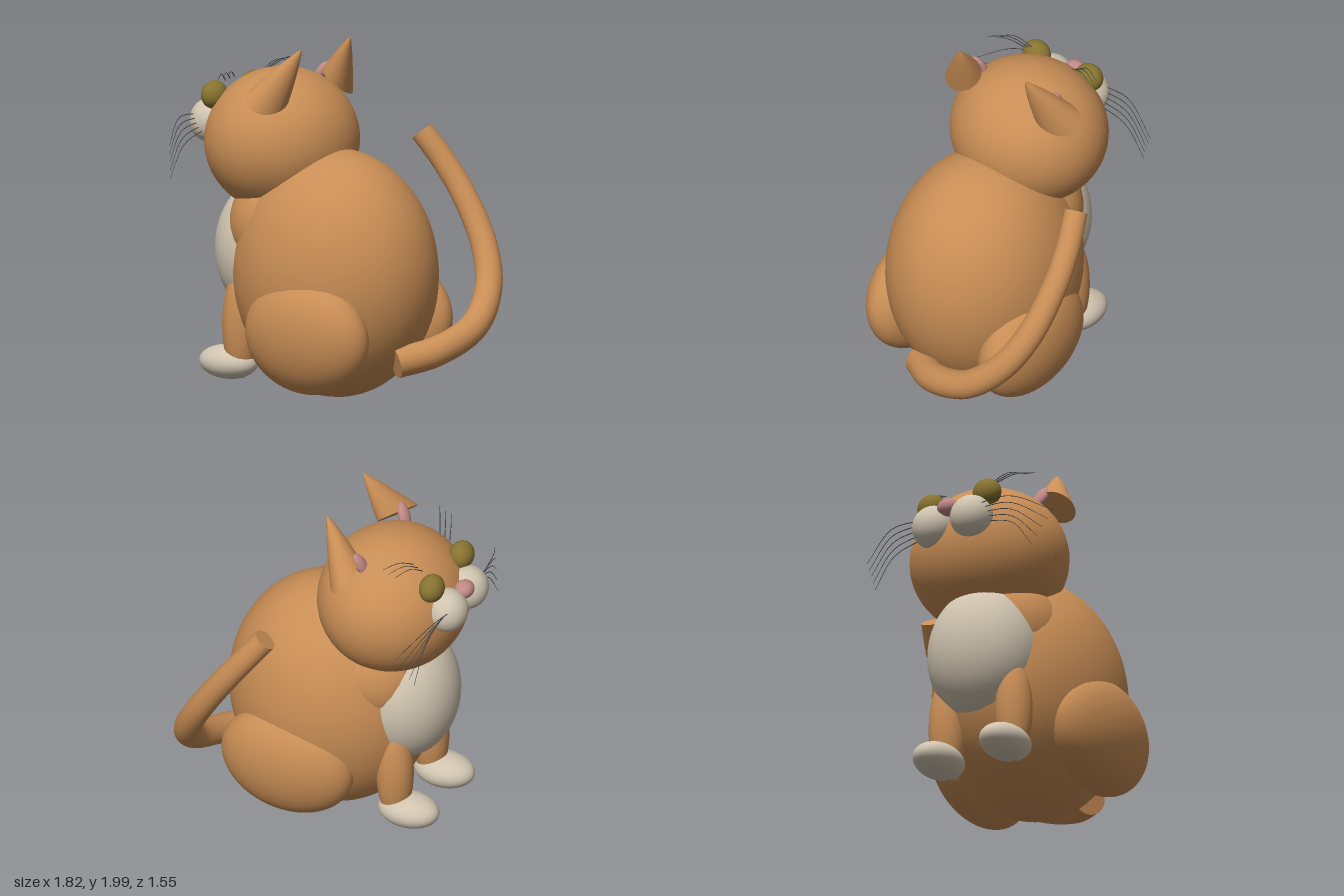
import * as THREE from 'three';

const mat = (name, color) => {
  const m = new THREE.MeshStandardMaterial({ color });
  m.name = name;
  return m;
};

export function createModel() {
  const fur = mat('orange fur', 0xc88d55);
  const cream = mat('cream fur', 0xd0c4b0);
  const pink = mat('pink skin', 0xc08885);
  const olive = mat('olive eye', 0x877330);
  const dark = mat('dark whisker', 0x444444);

  const model = new THREE.Group();
  model.name = 'sittingCat';

  // Body frame: local +z is the way the cat looks
  const cat = new THREE.Group();
  cat.name = 'cat';
  cat.position.set(-0.06, 0, 0.165);
  cat.rotation.y = THREE.MathUtils.degToRad(207);
  model.add(cat);

  const add = (name, geometry, material, parent = cat) => {
    const mesh = new THREE.Mesh(geometry, material);
    mesh.name = name;
    parent.add(mesh);
    return mesh;
  };
  const blob = (name, material, pos, radii) => {
    const geo = new THREE.SphereGeometry(1, 48, 32).scale(...radii);
    const mesh = add(name, geo, material);
    mesh.position.set(...pos);
    return mesh;
  };

  // Tapered tube along a smooth curve, with flat ends
  const taperedTube = (points, r0, r1, segs, sides) => {
    const curve = new THREE.CatmullRomCurve3(points.map(p => new THREE.Vector3(...p)));
    const geo = new THREE.TubeGeometry(curve, segs, 1, sides);
    const pos = geo.attributes.position;
    const v = new THREE.Vector3();
    for (let i = 0; i < pos.count; i++) {
      const t = Math.floor(i / (sides + 1)) / segs;
      const c = curve.getPointAt(t);
      v.fromBufferAttribute(pos, i).sub(c).multiplyScalar(r0 + (r1 - r0) * t).add(c);
      pos.setXYZ(i, v.x, v.y, v.z);
    }
    return { geo, curve };
  };

  // Torso, chest and head
  blob('body', fur, [0, 0.7, 0], [0.525, 0.7, 0.6]);
  blob('shoulders', fur, [0, 0.95, 0.3], [0.38, 0.34, 0.34]);
  blob('chestPatch', cream, [0, 0.8, 0.45], [0.33, 0.4, 0.3]);
  blob('head', fur, [-0.015, 1.41, 0.38], [0.457, 0.41, 0.423]);
  blob('nose', pink, [0, 1.575, 0.81], [0.065, 0.05, 0.055]);

  // Ear: a flattened cone from a tilted oval base to a tip leaning back
  const earGeometry = (s) => {
    const base = new THREE.Vector3(s * 0.335, 1.71, 0.23);
    const tip = new THREE.Vector3(s * 0.235, 1.99, 0.07);
    const wide = new THREE.Vector3(s * 0.137, -0.035, 0.03);
    const deep = new THREE.Vector3(0, -0.065, -0.08);
    const geo = new THREE.ConeGeometry(1, 1, 40, 16);
    const pos = geo.attributes.position;
    for (let i = 0; i < pos.count; i++) {
      const t = pos.getY(i) + 0.5;
      const r = Math.hypot(pos.getX(i), pos.getZ(i));
      const a = Math.atan2(pos.getZ(i), pos.getX(i) * s);
      const k = r < 1e-5 ? 0 : Math.pow(1 - t, 0.8);
      const p = base.clone().lerp(tip, t)
        .addScaledVector(wide, k * Math.cos(a))
        .addScaledVector(deep, k * Math.sin(a));
      pos.setXYZ(i, p.x, p.y, p.z);
    }
    geo.computeVertexNormals();
    return geo;
  };
  const earFur = fur.clone();
  earFur.side = THREE.DoubleSide;

  for (const s of [1, -1]) {
    const side = s > 0 ? 'left' : 'right';

    // Legs
    const thigh = blob(side + 'Thigh', fur, [s * 0.4, 0.405, -0.09], [0.2, 0.33, 0.4]);
    thigh.rotation.z = -s * 0.1;
    blob(side + 'FrontLeg', fur, [s * 0.225, 0.39, 0.49], [0.105, 0.31, 0.105]);
    blob(side + 'Paw', cream, [s * 0.225, 0.165, 0.575], [0.128, 0.096, 0.18]);

    // Face
    blob(side + 'Eye', olive, [s * 0.187, 1.66, 0.7], [0.085, 0.08, 0.07]);
    blob(side + 'Muzzle', cream, [s * 0.128, 1.5, 0.765], [0.122, 0.125, 0.12]);

    // Ears
    add(side + 'Ear', earGeometry(s), earFur);
    const inner = blob(side + 'InnerEar', pink, [s * 0.275, 1.755, 0.3], [0.042, 0.075, 0.03]);
    inner.rotation.set(-0.45, 0, s * -0.3);

    // Cheek whiskers fan out and droop
    for (let i = 0; i < 5; i++) {
      const y = 1.54 - i * 0.018;
      const z = 0.82 - i * 0.018;
      const w = taperedTube([
        [s * 0.18, y, z],
        [s * 0.4, y + 0.01 - i * 0.02, z - 0.03 + i * 0.01],
        [s * (0.63 - i * 0.025), y - 0.1 - i * 0.035, z - 0.13 + i * 0.035],
      ], 0.003, 0.0012, 12, 5);
      add(side + 'Whisker' + (i + 1), w.geo, dark);
    }
    // Brow whiskers
    for (let i = 0; i < 3; i++) {
      const w = taperedTube([
        [s * 0.17, 1.745 + i * 0.015, 0.635 - i * 0.03],
        [s * 0.26, 1.8 + i * 0.01, 0.6 - i * 0.035],
        [s * 0.36, 1.785 + i * 0.018, 0.55 - i * 0.035],
      ], 0.003, 0.0012, 10, 5);
      add(side + 'BrowWhisker' + (i + 1), w.geo, dark);
    }
  }

  // Tail sweeping round one side and up
  const tail = taperedTube([
    [0.08, 0.25, 0.62], [0.32, 0.3, 0.65], [0.6, 0.41, 0.57], [0.76, 0.59, 0.43],
    [0.81, 0.8, 0.28], [0.77, 1.06, 0.11], [0.7, 1.24, 0.0], [0.61, 1.4, -0.09],
  ], 0.088, 0.066, 64, 24);
  add('tail', tail.geo, fur, model);
  for (const [t, r, dir] of [[0, 0.088, -1], [1, 0.066, 1]]) {
    const cap = add(t ? 'tailTip' : 'tailRoot', new THREE.CircleGeometry(r, 24), fur, model);
    const p = tail.curve.getPointAt(t);
    cap.position.copy(p);
    cap.lookAt(p.clone().addScaledVector(tail.curve.getTangentAt(t), dir));
  }

  return model;
}
